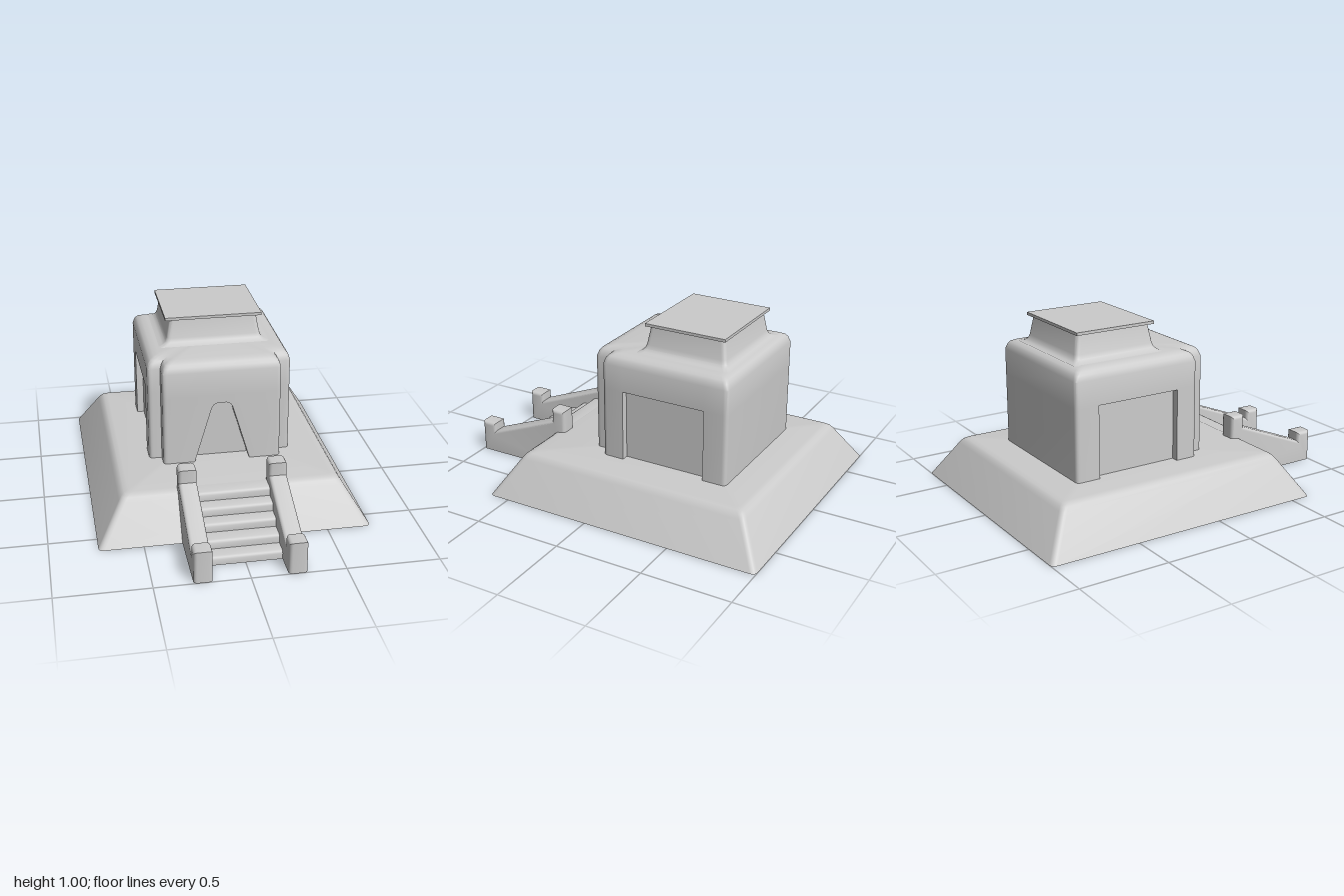
import * as THREE from 'three';
import { toCreasedNormals } from 'three/addons/utils/BufferGeometryUtils.js';

const material = new THREE.MeshStandardMaterial({ color: 0xcccccc, side: THREE.DoubleSide });

function addMesh(parent, name, geometry) {
  const mesh = new THREE.Mesh(geometry, material);
  mesh.name = name;
  parent.add(mesh);
  return mesh;
}

// Horizontal outline at height y from corners [x, z, radius]
function outline(corners, y) {
  const ring = [];
  corners.forEach(([x, z, r], i) => {
    if (!r) return ring.push(new THREE.Vector3(x, y, z));
    const corner = new THREE.Vector3(x, y, z);
    const toward = (k) => {
      const [nx, nz] = corners[(k + corners.length) % corners.length];
      return new THREE.Vector3(nx - x, 0, nz - z).setLength(r).add(corner);
    };
    ring.push(...new THREE.QuadraticBezierCurve3(toward(i - 1), corner, toward(i + 1)).getPoints(4));
  });
  return ring;
}

function rectangle(hx, z0, z1, r, y) {
  return outline([[-hx, z1, r], [hx, z1, r], [hx, z0, r], [-hx, z0, r]], y);
}

// Skin stacked outlines, optionally closing the top with a fan
function loft(rings, closeTop) {
  const n = rings[0].length;
  const positions = [];
  const index = [];
  rings.flat().forEach((p) => positions.push(p.x, p.y, p.z));
  for (let i = 0; i < rings.length - 1; i++) {
    for (let j = 0; j < n; j++) {
      const a = i * n + j, b = i * n + (j + 1) % n;
      index.push(a, b, b + n, a, b + n, a + n);
    }
  }
  if (closeTop) {
    const last = (rings.length - 1) * n;
    positions.push(0, rings.at(-1)[0].y, -0.25);
    for (let j = 0; j < n; j++) index.push(last + j, last + (j + 1) % n, last + n);
  }
  const geometry = new THREE.BufferGeometry();
  geometry.setAttribute('position', new THREE.Float32BufferAttribute(positions, 3));
  geometry.setIndex(index);
  return toCreasedNormals(geometry, 0.6);
}

// Outline of the building, inset by d, with door and side niches cut in
function bodyOutline([y, d, doorWidth, doorDepth, nicheDepth]) {
  const hx = 0.4 - d, front = 0.17 - d, porch = 0.33 - d, step = 0.085 - d;
  const half = [
    [doorWidth, front - doorDepth, 0], [doorWidth, front, 0],
    [porch, front, 0.025], [porch, step, 0], [hx, step, 0.025],
    [hx, -0.04, 0], [hx - nicheDepth, -0.04, 0],
    [hx - nicheDepth, -0.525, 0], [hx, -0.525, 0],
    [hx, -0.66 + d, 0.025],
  ];
  const mirrored = half.map(([x, z, r]) => [-x, z, r]).reverse();
  return outline([...half, ...mirrored], y);
}

// Stepped sheet of treads with rounded nosings
function stairGeometry() {
  const points = [];
  const fronts = [0.855, 0.775, 0.69, 0.61, 0.53];
  fronts.forEach((z, i) => {
    const low = i * 0.0484, top = low + 0.0484;
    points.push([z, low], [z, top - 0.016], [z - 0.005, top - 0.005], [z - 0.016, top]);
  });
  points.push([0.44, 0.242]);
  const geometry = new THREE.PlaneGeometry(0.4, 1, 1, points.length - 1);
  const pos = geometry.attributes.position;
  for (let i = 0; i < pos.count; i++) {
    // plane rows run downwards, so take the points from the top step down
    const [z, y] = points[points.length - 1 - Math.floor(i / 2)];
    pos.setXYZ(i, pos.getX(i), y, z);
  }
  return toCreasedNormals(geometry, 0.9);
}

// Sloping stair wall with a post at each end, open underneath
function railGeometry() {
  const profile = [
    [1, -0.04], [1, 0.18], [0.91, 0.18], [0.91, 0.13],
    [0.5, 0.295], [0.5, 0.37], [0.415, 0.37], [0.415, -0.04],
  ];
  const shape = new THREE.Shape(profile.map(([z, y]) => new THREE.Vector2(z, y)));
  const solid = new THREE.ExtrudeGeometry(shape, {
    depth: 0.06, bevelThickness: 0.02, bevelSize: 0.02, bevelOffset: -0.02, bevelSegments: 4,
  });
  solid.translate(0, 0, -0.03).rotateY(-Math.PI / 2);
  const pos = solid.attributes.position;
  const kept = [];
  for (let i = 0; i < pos.count; i += 3) {
    const ys = [0, 1, 2].map((k) => Math.max(0, pos.getY(i + k)));
    if (Math.max(...ys) < 0.001) continue;
    ys.forEach((y, k) => kept.push(pos.getX(i + k), y, pos.getZ(i + k)));
  }
  const geometry = new THREE.BufferGeometry();
  geometry.setAttribute('position', new THREE.Float32BufferAttribute(kept, 3));
  return toCreasedNormals(geometry, 0.6);
}

export function createModel() {
  const model = new THREE.Group();
  model.name = 'temple';

  // Sloped platform: [height, inset]
  const platform = [[0, 0], [0.205, 0.128], [0.225, 0.143], [0.236, 0.16], [0.24, 0.185]];
  addMesh(model, 'platform', loft(
    platform.map(([y, d]) => rectangle(0.74 - d, -1 + d, 0.62 - d, 0.03, y)), true));

  // Building: [height, inset, door half width, door depth, niche depth]
  const body = [
    [0.24, 0, 0.155, 0.08, 0.04], [0.54, 0, 0.066, 0.08, 0.04],
    [0.57, 0, 0.056, 0.08, 0.04], [0.585, 0, 0.045, 0.08, 0.04],
    [0.594, 0, 0.025, 0.08, 0.04], [0.594, 0, 0.025, 0, 0.04],
    [0.64, 0, 0.025, 0, 0.04], [0.64, 0, 0.025, 0, 0],
    [0.78, 0, 0.025, 0, 0], [0.81, 0.01, 0.025, 0, 0],
    [0.825, 0.022, 0.025, 0, 0], [0.835, 0.045, 0.025, 0, 0], [0.84, 0.075, 0.025, 0, 0],
  ];
  addMesh(model, 'building', loft(body.map(bodyOutline), true));

  // Flared roof neck: [height, half width, half depth]
  const neck = [
    [0.838, 0.32, 0.275], [0.845, 0.29, 0.255], [0.858, 0.272, 0.243],
    [0.88, 0.263, 0.235], [0.985, 0.245, 0.218],
  ];
  addMesh(model, 'roofNeck', loft(
    neck.map(([y, hx, hz]) => rectangle(hx, -0.34 - hz, -0.34 + hz, 0.025, y)), false));

  // Thin roof slab
  addMesh(model, 'roofSlab', new THREE.BoxGeometry(0.544, 0.016, 0.47)).position.set(0, 0.992, -0.34);

  // Front stairs and their side walls
  addMesh(model, 'stairs', stairGeometry());
  const rail = railGeometry();
  addMesh(model, 'leftStairWall', rail).position.x = 0.245;
  addMesh(model, 'rightStairWall', rail).position.x = -0.245;

  return model;
}
